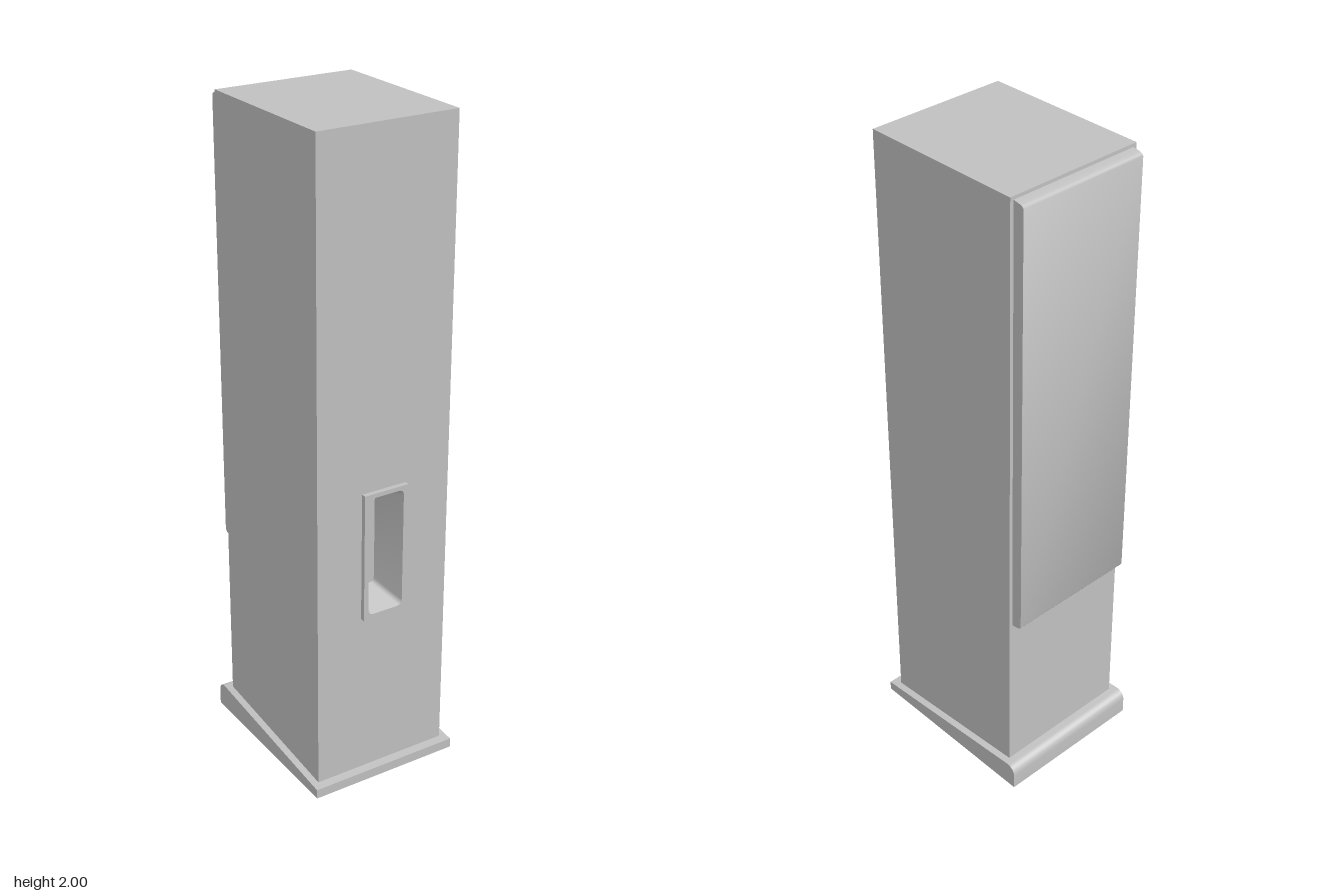
import * as THREE from 'three';
import { toCreasedNormals } from 'three/addons/utils/BufferGeometryUtils.js';

// Counter-clockwise rectangle with n points per rounded corner
function rectLoop(x, y0, y1, r = 0, n = 1) {
  const points = [];
  const corners = [[x - r, y0 + r], [x - r, y1 - r], [r - x, y1 - r], [r - x, y0 + r]];
  corners.forEach(([cx, cy], k) => {
    for (let i = 0; i < n; i++) {
      const a = (k - 1 + (n > 1 ? i / (n - 1) : 0.5)) * Math.PI / 2;
      points.push(new THREE.Vector2(cx + r * Math.cos(a), cy + r * Math.sin(a)));
    }
  });
  return points;
}

// Skin loops running towards -z and cap the last one; inward turns the faces inside
function loft(loops, inward, crease) {
  const position = [], index = [], n = loops[0].points.length;
  const tri = (a, b, c) => (inward ? index.push(a, c, b) : index.push(a, b, c));
  for (const { points, z } of loops) for (const p of points) position.push(p.x, p.y, z);
  for (let k = 0; k < loops.length - 1; k++) {
    for (let i = 0; i < n; i++) {
      const a = k * n + i, b = k * n + (i + 1) % n;
      tri(a, a + n, b);
      tri(b, a + n, b + n);
    }
  }
  const last = (loops.length - 1) * n;
  for (let i = 1; i < n - 1; i++) tri(last, last + i + 1, last + i);
  const g = new THREE.BufferGeometry();
  g.setAttribute('position', new THREE.Float32BufferAttribute(position, 3));
  g.setIndex(index);
  return toCreasedNormals(g, crease);
}

function shapeWithHole(outer, hole) {
  const shape = new THREE.Shape(outer);
  shape.holes.push(new THREE.Path(hole));
  return shape;
}

export function createModel() {
  const model = new THREE.Group();
  model.name = 'cabinetTower';
  const grey = new THREE.MeshStandardMaterial({ color: 0xc0c0c0 });
  grey.name = 'grey';
  const add = (name, geometry) => {
    const mesh = new THREE.Mesh(geometry, grey);
    mesh.name = name;
    model.add(mesh);
    return mesh;
  };

  // Wedge plinth: side profile drawn as (z, y), rounded at the back
  const profile = new THREE.Shape();
  profile.moveTo(-0.295, 0);
  profile.lineTo(0.295, 0);
  profile.lineTo(0.295, 0.03);
  profile.lineTo(0.268, 0.032);
  profile.lineTo(-0.262, 0.08);
  profile.bezierCurveTo(-0.282, 0.08, -0.295, 0.07, -0.295, 0.048);
  profile.closePath();
  const plinth = new THREE.ExtrudeGeometry(profile, { depth: 0.484, bevelEnabled: false, curveSegments: 8 });
  plinth.translate(0, 0, -0.242).rotateY(-Math.PI / 2);
  add('plinth', toCreasedNormals(plinth, 0.5));

  // Cabinet: box without its front, which is a separate face with an opening
  const front = 0.267, back = -0.25, bottom = 0.03;
  const box = new THREE.BoxGeometry(0.44, 2 - bottom, front - back);
  const faces = Array.from(box.index.array);
  faces.splice(24, 6);
  box.setIndex(faces);
  box.clearGroups();
  box.translate(0, (2 + bottom) / 2, (front + back) / 2);
  add('cabinetBody', box);

  const opening = rectLoop(0.058, 0.565, 0.94, 0.016, 5);
  const frontFace = new THREE.ShapeGeometry(shapeWithHole(rectLoop(0.22, bottom, 2), opening));
  add('cabinetFront', frontFace).position.z = front;

  // Recessed handle: raised frame and tapered pocket
  const frame = new THREE.ExtrudeGeometry(
    shapeWithHole(rectLoop(0.073, 0.55, 0.953), opening), { depth: 0.015, bevelEnabled: false });
  add('handleFrame', frame).position.z = front;
  add('handlePocket', loft([
    { points: opening, z: front + 0.015 },
    { points: rectLoop(0.028, 0.602, 0.906, 0.016, 5), z: 0.18 },
  ], true, 0.5));

  // Raised back panel with softened edges
  const panelRings = [[0, 0, -0.25], [0.006, 0.002, -0.264], [0.011, 0.004, -0.275],
    [0.014, 0.007, -0.281], [0.021, 0.013, -0.285]];
  add('backPanel', loft(panelRings.map(([dx, dy, z]) => (
    { points: rectLoop(0.209, 0.62 + dy, 1.99 - dy), z })), false, 0.7));

  return model;
}
